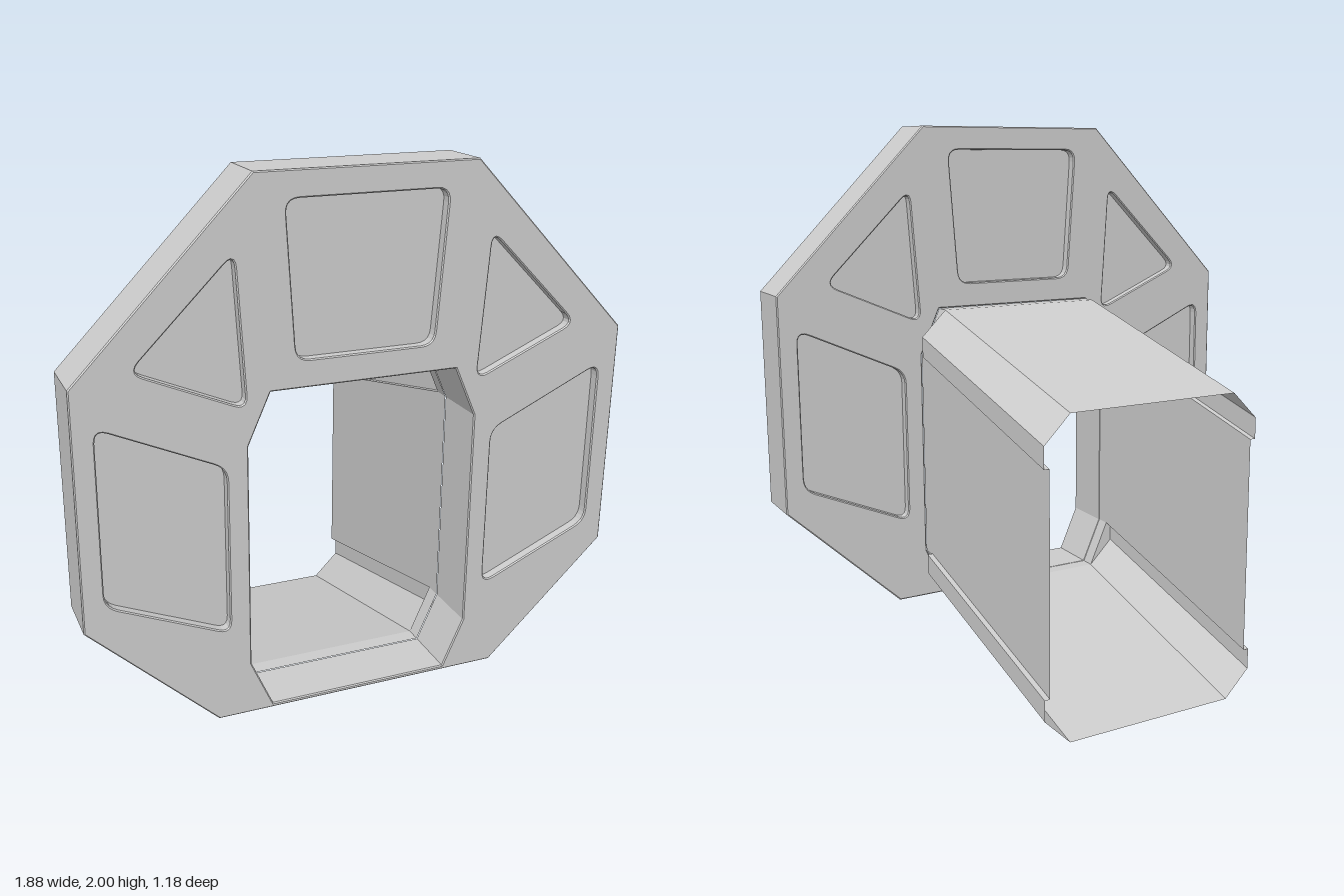
import * as THREE from 'three';

const FRONT = 0.59, BACK = 0.39, MOUTH = 0.335, TAIL = -0.59;
const MID = 0.775, DROP = 0.22;

// Closed path through the points, with each corner rounded by r
function trace(path, pts, r = 0) {
  const v = pts.map(([x, y]) => new THREE.Vector2(x, y));
  v.forEach((p, i) => {
    const prev = v[(i + v.length - 1) % v.length], next = v[(i + 1) % v.length];
    const a = p.clone().add(prev.clone().sub(p).setLength(r));
    const b = p.clone().add(next.clone().sub(p).setLength(r));
    if (i === 0) path.moveTo(a.x, a.y); else path.lineTo(a.x, a.y);
    if (r > 0) path.quadraticCurveTo(p.x, p.y, b.x, b.y);
  });
  path.closePath();
  return path;
}

const mirrorX = (pts) => pts.map(([x, y]) => [-x, y]).reverse();

// Repeat one quarter of a section into a full loop around the duct centre
function fullLoop(quarter) {
  const q = quarter, r = [...quarter].reverse();
  return [
    ...q.map(([x, y]) => [x, MID + y]),
    ...r.map(([x, y]) => [x, MID - y]),
    ...q.map(([x, y]) => [-x, MID - y]),
    ...r.map(([x, y]) => [-x, MID + y]),
  ];
}

// Flat-shaded skin joining successive closed loops of 3D points
function skin(loops) {
  const pos = [];
  const tri = (a, b, c) => {
    const area = new THREE.Triangle(a, b, c).getArea();
    if (area > 1e-7) [a, b, c].forEach((p) => pos.push(p.x, p.y, p.z));
  };
  for (let k = 0; k + 1 < loops.length; k++) {
    const A = loops[k], B = loops[k + 1], n = A.length;
    for (let i = 0; i < n; i++) {
      const j = (i + 1) % n;
      tri(A[i], A[j], B[i]);
      tri(A[j], B[j], B[i]);
    }
  }
  const g = new THREE.BufferGeometry();
  g.setAttribute('position', new THREE.Float32BufferAttribute(pos, 3));
  g.computeVertexNormals();
  return g;
}

export function createModel() {
  const model = new THREE.Group();
  const grey = new THREE.MeshStandardMaterial({ color: 0xcccccc });
  grey.name = 'light grey';
  grey.side = THREE.DoubleSide;
  const add = (name, geometry) => {
    const mesh = new THREE.Mesh(geometry, grey);
    mesh.name = name;
    model.add(mesh);
    return mesh;
  };

  // Recessed panel outlines
  const upper = [[0.43, 1.768], [0.398, 1.285], [0.757, 1.441]];
  const side = [[0.465, 1.098], [0.465, 0.522], [0.87, 0.697], [0.87, 1.282]];
  const panels = {
    topPanel: [[-0.27, 1.915], [-0.235, 1.42], [0.235, 1.42], [0.27, 1.915]],
    upperLeftPanel: upper,
    upperRightPanel: mirrorX(upper),
    sideLeftPanel: side,
    sideRightPanel: mirrorX(side),
  };

  // Quarter sections: the opening, and the duct with its overhanging corner lips
  const opening = [[0.32, 0.555], [0.395, 0.385]];
  const lip = [[0.32, 0.555], [0.415, 0.46], [0.415, 0.385], [0.395, 0.385]];

  // Eight-sided frame with the opening and panel cut-outs, finely chamfered
  const outline = [[0.37, 2], [-0.37, 2], [-0.94, 1.41], [-0.94, 0.615],
    [-0.51, 0.205], [0.51, 0.205], [0.94, 0.615], [0.94, 1.41]];
  const frame = trace(new THREE.Shape(), outline);
  frame.holes.push(trace(new THREE.Path(), fullLoop(opening)));
  for (const pts of Object.values(panels)) frame.holes.push(trace(new THREE.Path(), pts, 0.045));
  const chamfer = 0.004;
  add('frame', new THREE.ExtrudeGeometry(frame, {
    depth: FRONT - BACK - 2 * chamfer, curveSegments: 5, bevelEnabled: true, bevelSegments: 1,
    bevelSize: chamfer, bevelThickness: chamfer, bevelOffset: -chamfer,
  })).position.z = BACK + chamfer;

  // Panel floors, set in from both faces of the frame
  const inset = 0.035;
  for (const [name, pts] of Object.entries(panels)) {
    add(name, new THREE.ExtrudeGeometry(trace(new THREE.Shape(), pts, 0.045), {
      depth: FRONT - BACK - 2 * inset, curveSegments: 5, bevelEnabled: false,
    })).position.z = BACK + inset;
  }

  // Short collar, flared corners and the open duct sloping down to the back
  const at = (quarter, z, dy = 0) =>
    fullLoop(quarter).map(([x, y]) => new THREE.Vector3(x, y + dy, z));
  const collar = [opening[0], opening[1], opening[1], opening[1]];
  add('collar', skin([at(collar, BACK), at(collar, MOUTH), at(lip, MOUTH)]));
  add('duct', skin([at(lip, MOUTH), at(lip, TAIL, -DROP)]));

  return model;
}
